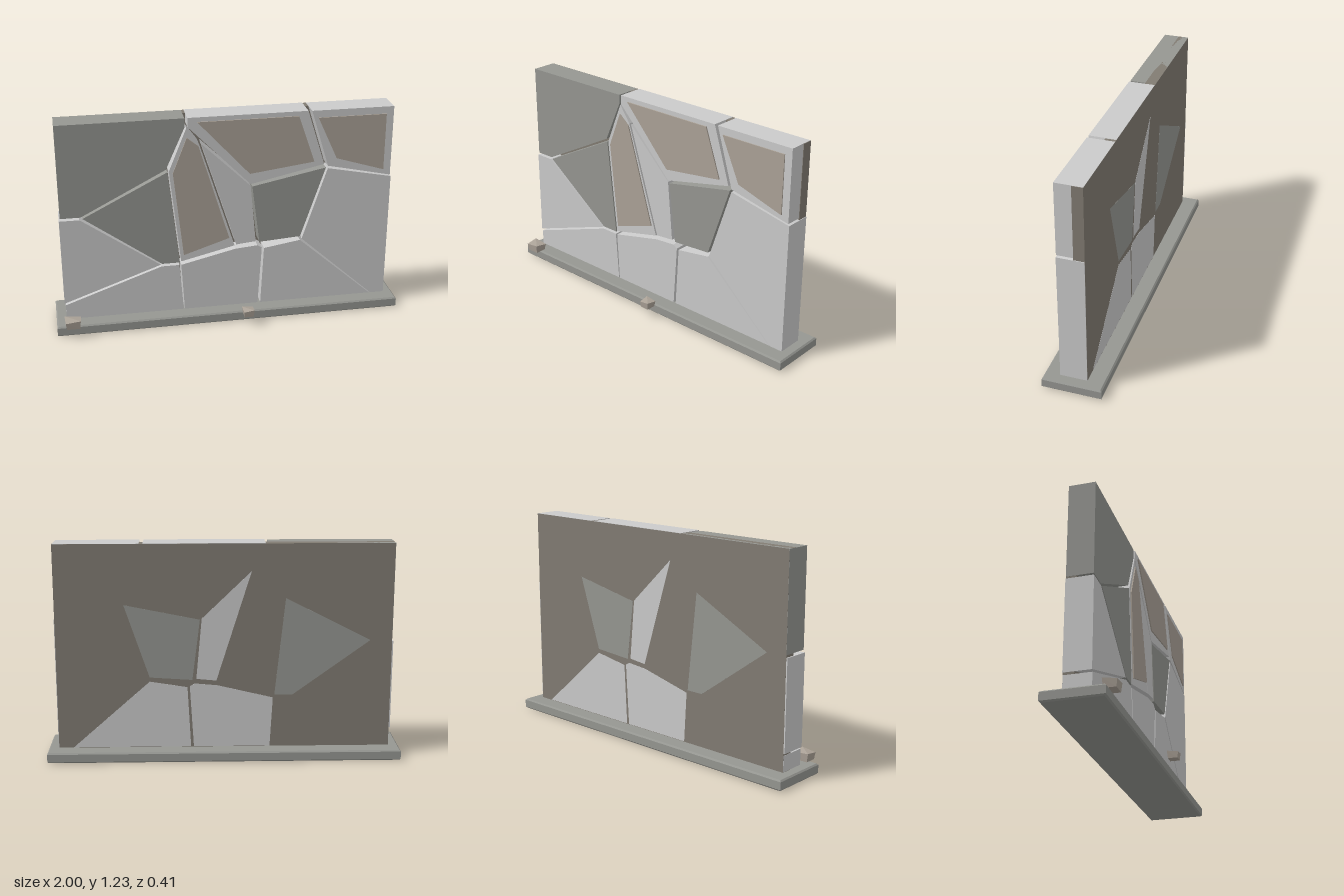
import * as THREE from 'three';
import { ConvexGeometry } from 'three/addons/geometries/ConvexGeometry.js';

const LIGHT = 0xcccccc, DARK = 0x969792, TAN = 0xaca398, MORTAR = 0x827c73;

function addMesh(parent, name, geometry, color) {
  const mesh = new THREE.Mesh(geometry, new THREE.MeshStandardMaterial({ color, flatShading: true }));
  mesh.name = name;
  parent.add(mesh);
  return mesh;
}

// Prism from a front outline, filling z0 to z1
function slab(points, z0, z1) {
  const shape = new THREE.Shape(points.map(([x, y]) => new THREE.Vector2(x, y)));
  return new THREE.ExtrudeGeometry(shape, { depth: z1 - z0, bevelEnabled: false }).translate(0, 0, z0);
}

// Box with chamfered edges
function chamferedBox(w, h, d, c) {
  const x = w / 2 - c, z = d / 2 - c;
  const shape = new THREE.Shape([[-x, -z], [x, -z], [x, z], [-x, z]].map(p => new THREE.Vector2(...p)));
  return new THREE.ExtrudeGeometry(shape, {
    depth: h - 2 * c, bevelSize: c, bevelThickness: c, bevelSegments: 1,
  }).rotateX(-Math.PI / 2).translate(0, c, 0);
}

// Stones: name, colour, back z, front z, outline
const STONES = [
  ['topLeftStone', DARK, -0.1095, 0.037, [[-.943, 1.23], [-.242, 1.23], [-.242, 1.18], [-.35, .939], [-.83, .69], [-.943, .69]]],
  ['leftStone', DARK, -0.1105, 0.04, [[-.82, .682], [-.342, .925], [-.283, .366], [-.385, .366]]],
  ['leftEdgeStone', LIGHT, -0.1095, 0.04, [[-.949, .676], [-.837, .676], [-.393, .361], [-.949, .163]]],
  ['bottomLeftStone', LIGHT, -0.1095, 0.04, [[-.943, .152], [-.388, .35], [-.286, .35], [-.265, .062], [-.943, .062]]],
  ['bottomMiddleStone', LIGHT, -0.1105, 0.04, [[-.275, .35], [.04, .425], [.168, .436], [.195, .42], [.174, .062], [-.259, .062]]],
  ['bottomRightStone', LIGHT, -0.1105, 0.04, [[.208, .415], [.42, .449], [.858, .062], [.19, .062]]],
  ['rightEdgeStone', LIGHT, -0.1095, 0.041, [[.57, .885], [.945, .81], [.945, .062], [.865, .062], [.43, .457]]],
  ['middleStone', DARK, -0.1105, 0.04, [[.136, .805], [.559, .89], [.42, .473], [.18, .457]]],
  ['narrowStone', LIGHT, -0.1105, 0.04, [[-.152, 1.078], [.126, .81], [.158, .463], [.045, .452]]],
  ['tallStone', LIGHT, -0.1095, 0.04, [[-.233, 1.175], [-.165, 1.08], [.035, .447], [-.275, .372], [-.334, .928]]],
  ['topStone', LIGHT, -0.1095, 0.04, [[-.227, 1.232], [.447, 1.232], [.548, .912], [.126, .82], [-.227, 1.18]]],
  ['topRightStone', LIGHT, -0.1095, 0.041, [[.468, 1.231], [.939, 1.231], [.939, .82], [.57, .9]]],
];

// Thin facing panels set on three of the stones
const PANELS = [
  ['tallPanel', [[-.233, 1.12], [-.168, 1.067], [.003, .5], [-.26, .414], [-.313, .917]]],
  ['topPanel', [[-.174, 1.206], [.393, 1.206], [.489, .933], [.12, .885]]],
  ['topRightPanel', [[.505, 1.19], [.896, 1.19], [.896, .858], [.618, .944]]],
];

// Loose chip: an uneven block, wider at the top
function chip(w, h, d, skew) {
  const pts = [];
  for (const sx of [-1, 1]) for (const sz of [-1, 1]) {
    pts.push(new THREE.Vector3(sx * w * 0.4, 0, sz * d * 0.44));
    pts.push(new THREE.Vector3(sx * w * (0.5 - 0.06 * (sz + 1) * skew), h * (0.9 + 0.1 * sx * sz), sz * d * 0.5));
  }
  return new ConvexGeometry(pts);
}

export function createModel() {
  const model = new THREE.Group();
  model.name = 'stoneWall';

  // Plinth
  addMesh(model, 'base', chamferedBox(2, 0.06, 0.332, 0.008), DARK).position.z = -0.04;

  // Mortar backing behind the joints
  const backing = new THREE.BoxGeometry(1.884, 1.17, 0.06).translate(0, 0.645, -0.08);
  addMesh(model, 'mortarBacking', backing, MORTAR);

  const stones = new THREE.Group();
  stones.name = 'stones';
  for (const [name, color, z0, z1, outline] of STONES) addMesh(stones, name, slab(outline, z0, z1), color);
  for (const [name, outline] of PANELS) addMesh(stones, name, slab(outline, 0.038, 0.047), TAN);
  model.add(stones);

  // Loose chips by the plinth's front edge
  const left = addMesh(model, 'cornerChip', chip(0.092, 0.05, 0.075, 0.3), TAN);
  left.position.set(-0.91, 0.06, 0.128);
  const middle = addMesh(model, 'frontChip', chip(0.066, 0.042, 0.062, 0.4), TAN);
  middle.position.set(0.092, 0.06, 0.174);

  return model;
}
